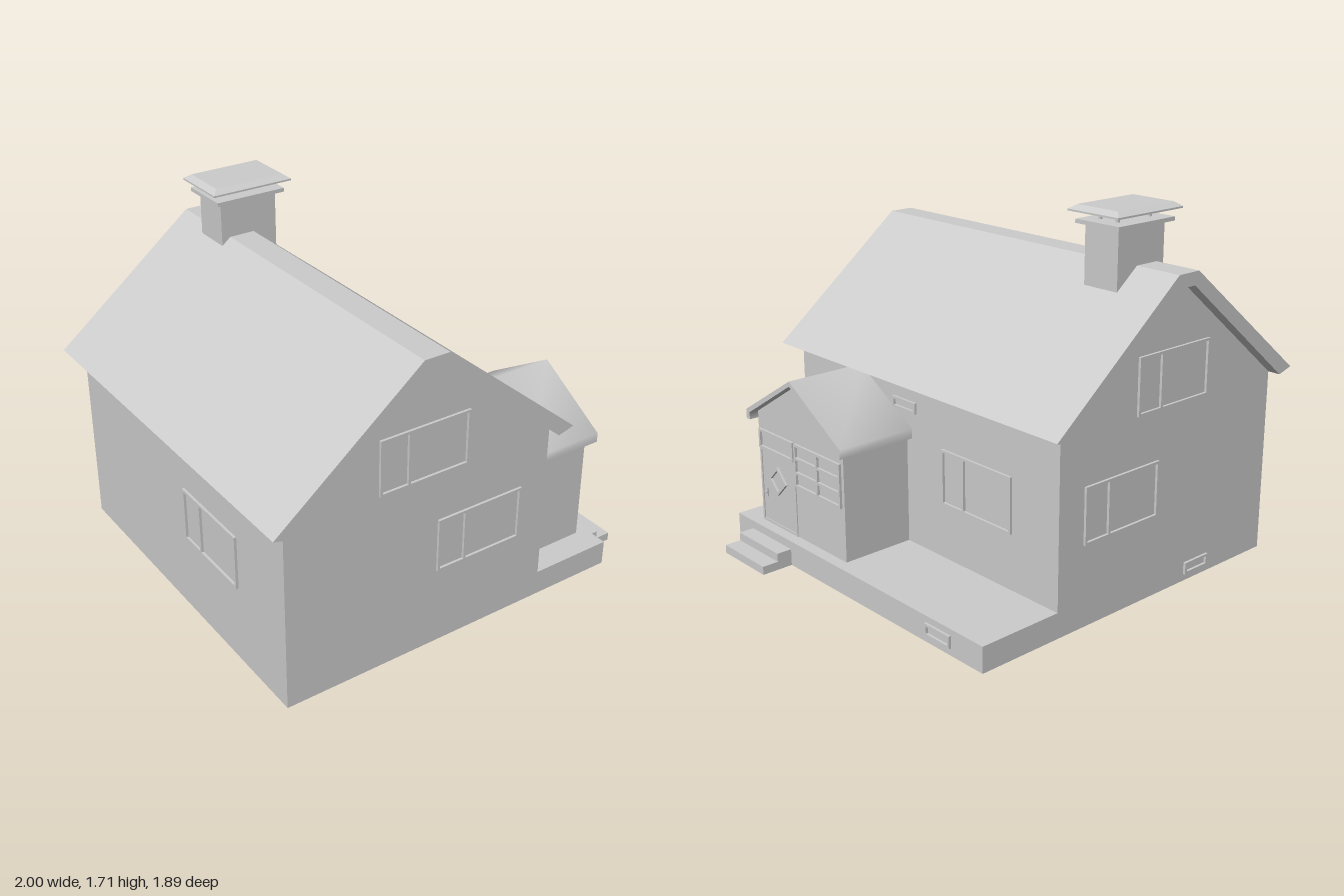
import * as THREE from 'three';
import { toCreasedNormals } from 'three/addons/utils/BufferGeometryUtils.js';

const material = new THREE.MeshStandardMaterial({ color: 0xcccccc });

export function createModel() {
  const model = new THREE.Group();

  function add(name, geometry, parent = model) {
    const mesh = new THREE.Mesh(geometry, material);
    mesh.name = name;
    parent.add(mesh);
    return mesh;
  }

  // Box given by its limits on each axis
  function box(name, [x0, x1], [y0, y1], [z0, z1], parent = model) {
    const mesh = add(name, new THREE.BoxGeometry(x1 - x0, y1 - y0, z1 - z0), parent);
    mesh.position.set((x0 + x1) / 2, (y0 + y1) / 2, (z0 + z1) / 2);
    return mesh;
  }

  function polygon(points) {
    return new THREE.Shape(points.map(([x, y]) => new THREE.Vector2(x, y)));
  }

  // Outline in the x-y plane extruded from z0 to z1
  function prism(points, z0, z1) {
    return new THREE.ExtrudeGeometry(polygon(points), { depth: z1 - z0, bevelEnabled: false }).translate(0, 0, z0);
  }

  // Raised flat frame with rectangular openings [x0, x1, y0, y1], centred on its own origin
  function frameGeometry(w, h, openings, depth) {
    const shape = polygon([[-w / 2, -h / 2], [w / 2, -h / 2], [w / 2, h / 2], [-w / 2, h / 2]]);
    for (const [a, b, c, d] of openings) {
      shape.holes.push(new THREE.Path([[a, c], [a, d], [b, d], [b, c]].map(p => new THREE.Vector2(...p))));
    }
    return new THREE.ExtrudeGeometry(shape, { depth, bevelEnabled: false });
  }

  // Openings from fractional column and row splits
  function paneGrid(w, h, cols, rows, bar) {
    const panes = [];
    for (let i = 0; i < cols.length - 1; i++) {
      for (let j = 0; j < rows.length - 1; j++) {
        const edge = (f, n, size, sign) => -size / 2 + f * size + sign * (f === 0 || f === 1 ? bar : bar / 2);
        panes.push([
          edge(cols[i], i, w, 1), edge(cols[i + 1], i, w, -1),
          edge(rows[j], j, h, 1), edge(rows[j + 1], j, h, -1),
        ]);
      }
    }
    return panes;
  }

  function windowFrame(name, w, h, [x, y, z], turn, cols = [0, 1], rows = [0, 1], depth = 0.012) {
    const mesh = add(name, frameGeometry(w, h, paneGrid(w, h, cols, rows, 0.012), depth));
    mesh.position.set(x, y, z);
    mesh.rotation.y = turn;
    return mesh;
  }

  const FRONT = 0, LEFT = Math.PI / 2, BACK = Math.PI, RIGHT = -Math.PI / 2;

  // Gabled house walls
  add('houseWalls', prism([
    [-0.92, 0], [0.43, 0], [0.43, 0.88], [-0.205, 1.4], [-0.285, 1.4], [-0.92, 0.88],
  ], -0.883, 0.883));

  // Main roof with a narrow flat ridge
  add('mainRoof', prism([
    [-1, 0.9], [-0.92, 0.878], [-0.285, 1.4], [-0.205, 1.4], [0.43, 0.878],
    [0.51, 0.9], [-0.183, 1.46], [-0.307, 1.46],
  ], -0.945, 0.945));

  // Terrace slab and entrance steps
  box('terrace', [0.43, 0.845], [0, 0.12], [-0.883, 0.883]);
  box('upperStep', [0.845, 0.92], [0, 0.08], [0.443, 0.762]);
  box('lowerStep', [0.92, 1], [0, 0.04], [0.443, 0.762]);

  // Porch, drawn in profile along its width, then turned to face +x
  const porch = new THREE.Group();
  porch.name = 'porch';
  porch.position.z = 0.42;
  porch.rotation.y = Math.PI / 2;
  model.add(porch);
  add('porchWalls', prism([
    [-0.333, 0.12], [0.333, 0.12], [0.333, 0.665], [0, 0.87], [-0.333, 0.665],
  ], 0.43, 0.788), porch);
  add('porchRoof', toCreasedNormals(prism([
    [-0.367, 0.63], [-0.34, 0.63], [-0.34, 0.665], [0, 0.873], [0.34, 0.665],
    [0.34, 0.63], [0.367, 0.63], [0.367, 0.675], [0, 0.897], [-0.367, 0.675],
  ], 0.43, 0.83), 1.2), porch);

  // Porch door, transom and paned window
  windowFrame('doorFrame', 0.285, 0.37, [0.788, 0.305, 0.603], LEFT, [0, 1], [0, 1], 0.005);
  windowFrame('transomWindow', 0.275, 0.095, [0.788, 0.538, 0.603], LEFT);
  windowFrame('porchWindow', 0.35, 0.21, [0.788, 0.48, 0.28], LEFT, [0, 0.5, 1], [0, 1 / 3, 2 / 3, 1]);
  const diamond = windowFrame('doorDiamondWindow', 0.1, 0.1, [0.788, 0.355, 0.603], LEFT);
  diamond.rotation.set(0, LEFT, Math.PI / 4);
  box('doorHandlePlate', [0.788, 0.794], [0.25, 0.295], [0.697, 0.707]);
  box('doorHandle', [0.794, 0.803], [0.268, 0.278], [0.695, 0.709]);

  // House windows, each with a narrow sash on its left
  const sashes = [0, 0.32, 1];
  for (const [side, turn, z] of [['front', FRONT, 0.883], ['back', BACK, -0.883]]) {
    windowFrame(side + 'UpperWindow', 0.45, 0.26, [-0.245, 1.0, z], turn, sashes);
    windowFrame(side + 'LowerWindow', 0.45, 0.26, [0.06, 0.51, z], turn, sashes);
  }
  windowFrame('terraceWindow', 0.445, 0.26, [0.43, 0.51, -0.383], LEFT, sashes);
  windowFrame('smallWindow', 0.16, 0.052, [0.43, 0.78, 0.097], LEFT);
  windowFrame('sideWindow', 0.445, 0.26, [-0.92, 0.51, 0.293], RIGHT, sashes);

  // Foundation vents
  windowFrame('terraceVent', 0.157, 0.057, [0.845, 0.062, -0.613], LEFT);
  windowFrame('backVent', 0.157, 0.057, [-0.45, 0.062, -0.883], BACK);

  // Chimney with ledge, posts and bevelled cap
  const chimney = new THREE.Group();
  chimney.name = 'chimney';
  model.add(chimney);
  box('chimneyStack', [-0.35, -0.063], [1.2, 1.632], [-0.712, -0.523], chimney);
  box('chimneyLedge', [-0.38, -0.032], [1.63, 1.648], [-0.742, -0.493], chimney);
  for (const x of [-0.307, -0.105]) {
    for (const z of [-0.667, -0.568]) {
      box('capPost', [x - 0.006, x + 0.006], [1.645, 1.69], [z - 0.006, z + 0.006], chimney);
    }
  }
  box('capRim', [-0.405, -0.003], [1.684, 1.692], [-0.763, -0.476], chimney);
  const capGeometry = new THREE.BoxGeometry(0.402, 0.02, 0.287);
  const p = capGeometry.attributes.position;
  for (let i = 0; i < p.count; i++) {
    if (p.getY(i) > 0) {
      p.setX(i, p.getX(i) - Math.sign(p.getX(i)) * 0.028);
      p.setZ(i, p.getZ(i) - Math.sign(p.getZ(i)) * 0.028);
    }
  }
  capGeometry.computeVertexNormals();
  add('chimneyCap', capGeometry, chimney).position.set(-0.204, 1.702, -0.6195);

  return model;
}
